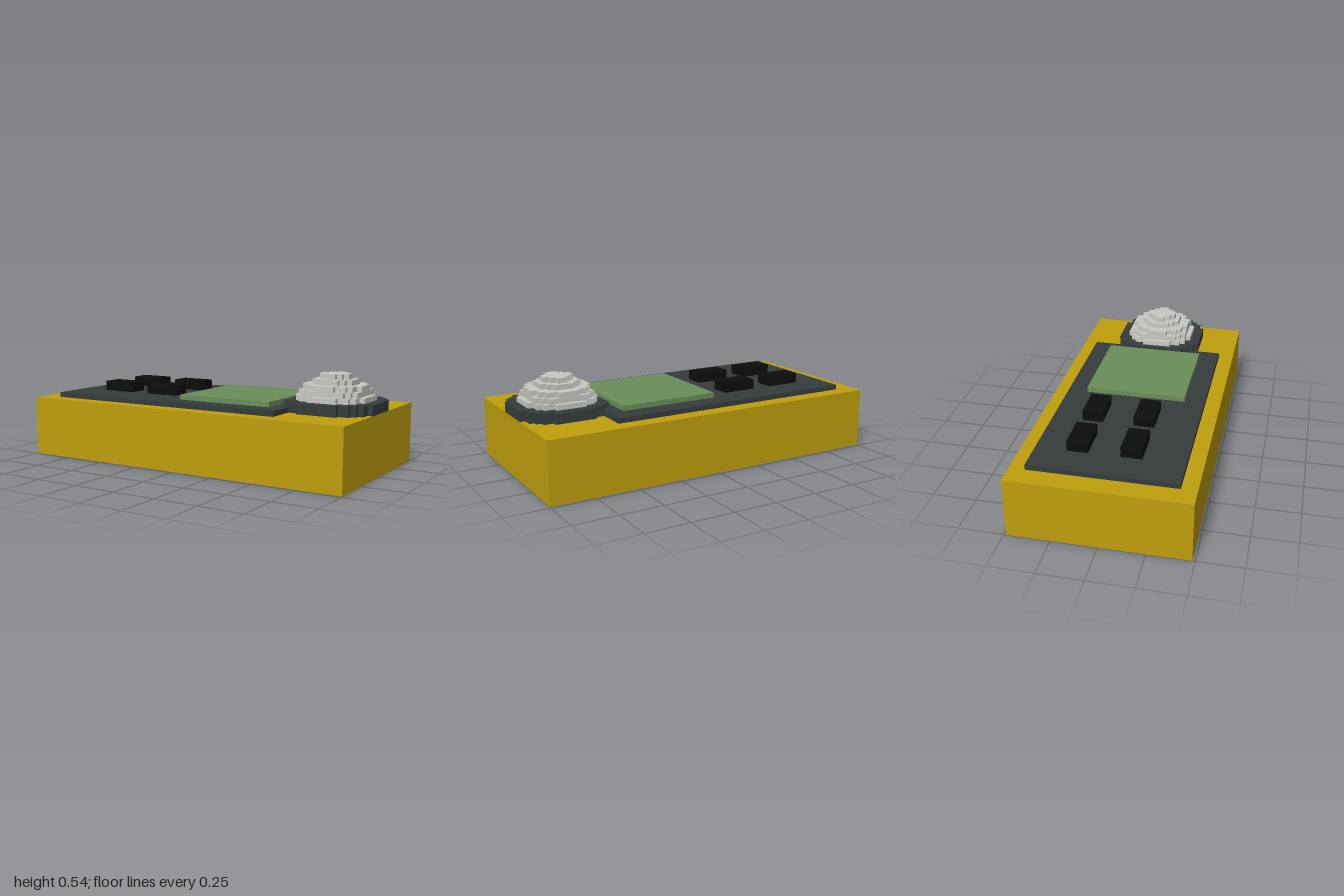
import * as THREE from 'three';

const U = 2 / 70; // one voxel

const paint = (name, color) => {
  const m = new THREE.MeshStandardMaterial({ color });
  m.name = name;
  return m;
};

// Box given by its voxel bounds
function block(name, mat, [x0, x1], [y0, y1], [z0, z1]) {
  const mesh = new THREE.Mesh(
    new THREE.BoxGeometry((x1 - x0) * U, (y1 - y0) * U, (z1 - z0) * U), mat);
  mesh.position.set((x0 + x1) / 2 * U, (y0 + y1) / 2 * U, (z0 + z1) / 2 * U);
  mesh.name = name;
  return mesh;
}

// Stepped round slab: half[k] is the half-width of the k-th row from the centre
function steppedDisc(name, mat, half, y0, y1, leftLimit = half.length) {
  const right = [], left = [];
  for (let r = -half.length; r < half.length; r++) {
    const w = half[r >= 0 ? r : -r - 1];
    const l = Math.min(w, leftLimit);
    for (const edge of [r, r + 1]) {
      right.push(new THREE.Vector2(w * U, edge * U));
      left.push(new THREE.Vector2(-l * U, edge * U));
    }
  }
  // drop points repeated where neighbouring rows are equally wide
  const outline = [...right, ...left.reverse()]
    .filter((p, i, all) => i === 0 || !p.equals(all[i - 1]));
  const geo = new THREE.ExtrudeGeometry(new THREE.Shape(outline),
    { depth: (y1 - y0) * U, bevelEnabled: false });
  geo.rotateX(-Math.PI / 2);
  const mesh = new THREE.Mesh(geo, mat);
  mesh.position.set(26 * U, y0 * U, 0);
  mesh.name = name;
  return mesh;
}

export function createModel() {
  const yellow = paint('casing yellow', 0xbf9f0d);
  const slate = paint('slate', 0x363c3c);
  const green = paint('screen green', 0x6a8f59);
  const black = paint('button black', 0x0d0d0d);
  const grey = paint('dome grey', 0xc8c8c3);

  const model = new THREE.Group();
  model.name = 'handheldDevice';

  // Casing, face plate and screen
  model.add(
    block('casing', yellow, [-35, 35], [0, 12], [-17, 17]),
    block('facePlate', slate, [-31, 20], [12, 13], [-14, 14]),
    block('screen', green, [-3, 17], [13, 14], [-10, 10]));

  // Two by two buttons
  const buttons = new THREE.Group();
  buttons.name = 'buttons';
  for (const x of [-25, -14])
    for (const z of [-8, 2])
      buttons.add(block('button', black, [x, x + 7], [13, 15], [z, z + 4]));
  model.add(buttons);

  // Collar, cut off on its left beside the screen
  model.add(steppedDisc('domeCollar', slate, [9, 9, 9, 9, 8, 8, 7, 6, 4], 12, 14, 8));

  // Dome in shrinking layers
  const dome = new THREE.Group();
  dome.name = 'dome';
  const layers = [
    [[7, 7, 7, 6, 6, 5, 3], 14, 15],
    [[6, 6, 6, 6, 5, 4], 15, 16],
    [[6, 6, 5, 5, 4, 2], 16, 17],
    [[4, 4, 3, 2], 17, 18],
    [[3, 2, 1], 18, 19],
  ];
  for (const [half, y0, y1] of layers) dome.add(steppedDisc('domeLayer', grey, half, y0, y1));
  model.add(dome);

  return model;
}
